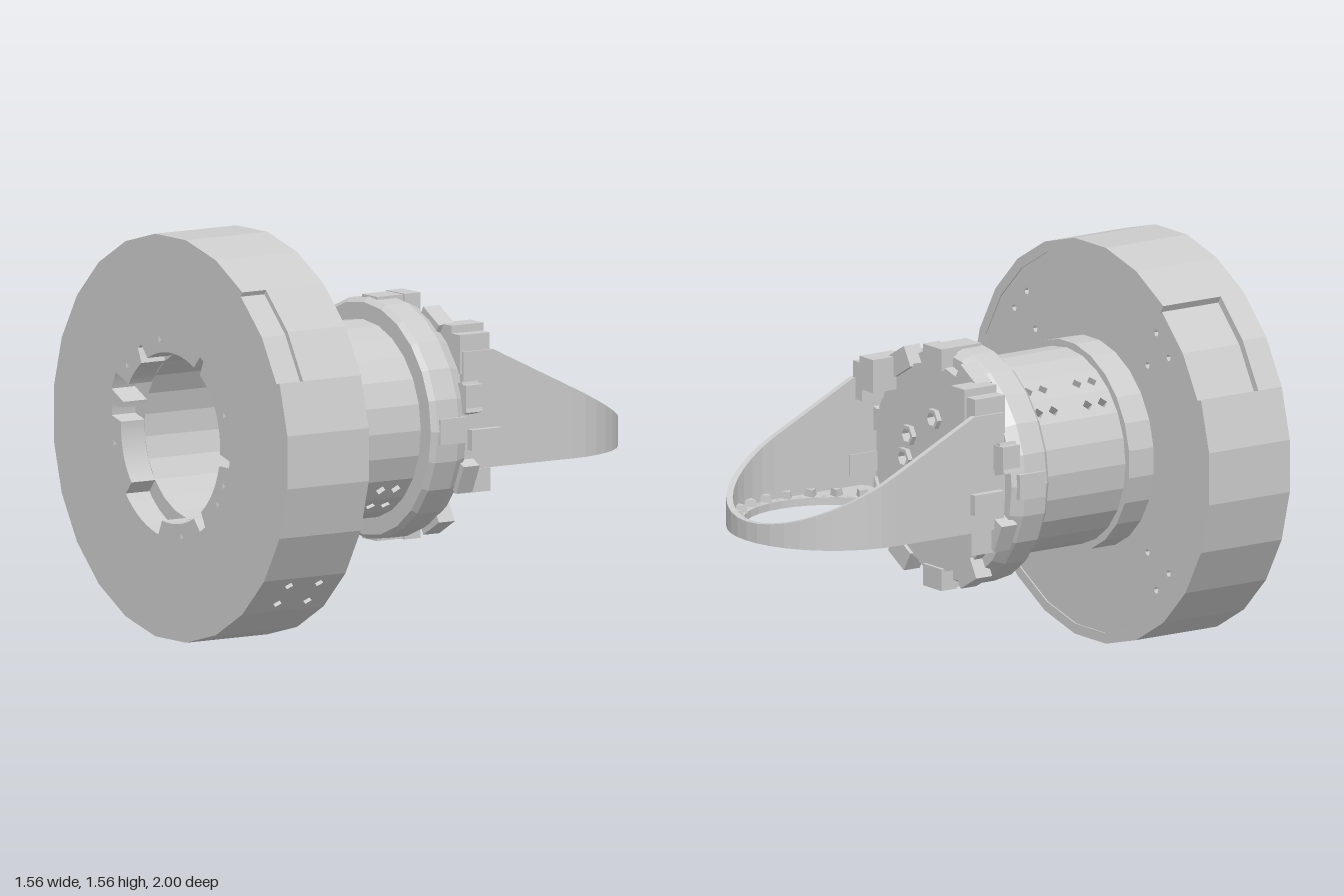
import * as THREE from 'three';
import { mergeGeometries } from 'three/addons/utils/BufferGeometryUtils.js';

const mat = new THREE.MeshStandardMaterial({ color: 0xcccccc, flatShading: true, side: THREE.DoubleSide });
const SIDES = 24, STEP = 360 / SIDES, AXIS_Y = 0.78;
const rad = THREE.MathUtils.degToRad;
const polar = (r, deg) => [r * Math.cos(rad(deg)), r * Math.sin(rad(deg))];

// regular polygon outline
function ngon(r, n, cx = 0, cy = 0, start = 0) {
  return Array.from({ length: n }, (_, i) => {
    const [x, y] = polar(r, start + (i * 360) / n);
    return new THREE.Vector2(cx + x, cy + y);
  });
}
const round = r => ngon(r, SIDES, 0, 0, STEP / 2);

// solid from an outline with holes, from z0 to z1
function slab(outline, holes, z0, z1) {
  const shape = new THREE.Shape(outline);
  holes.forEach(h => shape.holes.push(new THREE.Path(h)));
  return new THREE.ExtrudeGeometry(shape, { depth: z1 - z0, bevelEnabled: false }).translate(0, 0, z0);
}

function add(parent, name, geometry) {
  const mesh = new THREE.Mesh(geometry, mat);
  mesh.name = name;
  parent.add(mesh);
  return mesh;
}

function box(w, h, d, x, y, z) {
  return new THREE.BoxGeometry(w, h, d).translate(x, y, z);
}

// block sitting on a circle around the z axis
function radialBox(deg, r0, r1, width, z0, z1) {
  return box(r1 - r0, width, z1 - z0, (r0 + r1) / 2, 0, (z0 + z1) / 2).rotateZ(rad(deg));
}

// cylindrical wall of flat panels; holesAt(deg) lists [u, z] drill positions
function panelWall(R, thick, z0, z1, start, skip, holesAt, holeR) {
  const w = R * Math.sin(rad(STEP / 2)), a = R * Math.cos(rad(STEP / 2)), parts = [];
  for (let i = 0; i < SIDES; i++) {
    const deg = start + i * STEP;
    if (skip.includes(deg)) continue;
    const rect = [[-w, z0], [w, z0], [w, z1], [-w, z1]].map(p => new THREE.Vector2(...p));
    const g = slab(rect, holesAt(deg).map(([u, z]) => ngon(holeR, 4, u, z)), a - thick, a);
    const [c, s] = polar(1, deg);
    g.applyMatrix4(new THREE.Matrix4().makeBasis(
      new THREE.Vector3(-s, c, 0), new THREE.Vector3(0, 0, 1), new THREE.Vector3(c, s, 0)));
    parts.push(g);
  }
  return mergeGeometries(parts);
}

function buildDrum(g) {
  // front plate with a notched bore and small drilled marks
  const notches = [[58, 3, 0.39], [122, 3, 0.39], [155, 5, 0.42], [171, 3, 0.395],
    [239, 19, 0.39], [303, 3, 0.39], [352, 3, 0.395]];
  const bore = [];
  for (let d = 0; d < 360; d += 2) {
    const n = notches.find(([c, h]) => Math.abs(d - c) <= h);
    bore.push(new THREE.Vector2(...polar(n ? n[2] : 0.33, d)));
  }
  const marks = [20, 101, 140, 190, 281, 325, 338].map(d => ngon(0.013, 3, ...polar(0.38, d)));
  add(g, 'drumFrontPlate', slab(round(0.765), [bore, ...marks], 0.89, 1));
  add(g, 'drumFrontRim', panelWall(0.785, 0.03, 0.89, 1, 0, [30, 45], () => [], 0.015));

  // rear body with screw holes in its back face
  const screws = [];
  for (const d of [45, 135, 225, 315])
    for (const [r, o] of [[0.66, -5], [0.66, 5], [0.52, 0]]) screws.push(ngon(0.014, 6, ...polar(r, d + o)));
  add(g, 'drumRearBody', slab(round(0.755), [round(0.33), ...screws], 0.625, 0.89));
  const rimHoles = d => (d === 315 ? [-0.055, 0.055].flatMap(u => [[u, 0.72], [u, 0.86]]) : []);
  add(g, 'drumRearRim', panelWall(0.785, 0.04, 0.62, 0.89, 0, [135, 150], rimHoles, 0.02));
}

function buildNeck(g) {
  add(g, 'neckCollar', slab(round(0.41), [round(0.33)], 0.51, 0.63));
  const drilled = [127.5, 142.5, 307.5, 322.5];
  const holes = d => (drilled.includes(d) ? [0.16, 0.23, 0.39, 0.46].map(z => [0, z]) : []);
  add(g, 'neckTube', panelWall(0.383, 0.04, 0.09, 0.52, STEP / 2, [], holes, 0.022));
}

function buildFlange(g) {
  // chamfered flange ring
  const profile = [[0.25, 0.1], [0.45, 0.1], [0.467, 0.08], [0.467, -0.02], [0.445, -0.07], [0.25, -0.07], [0.25, 0.1]];
  add(g, 'flangeRing', new THREE.LatheGeometry(
    profile.map(p => new THREE.Vector2(...p)).reverse(), SIDES).rotateX(Math.PI / 2));

  // end plate with a bolt circle and hex bosses
  const bolts = [[0, 0], ...[0, 30, 90, 150, 180, 210, 270, 330].map(d => polar(0.19, d))];
  add(g, 'endPlate', slab(round(0.405), bolts.map(([x, y]) => ngon(0.028, 6, x, y)), -0.11, -0.05));
  add(g, 'boltBosses', mergeGeometries(bolts.map(([x, y]) =>
    slab(ngon(0.042, 6, x, y), [ngon(0.028, 6, x, y)], -0.13, -0.1))));

  // rim tabs and raised pads around the flange
  const tabs = [];
  for (const d of [15, 90, 165, 205, 240, 270, 300, 335, 60, 120]) tabs.push(radialBox(d, 0.39, 0.475, 0.12, -0.125, -0.05));
  add(g, 'rimTabs', mergeGeometries(tabs));
  add(g, 'flangePads', mergeGeometries([0, 90, 180, 270].map(d => radialBox(d, 0.43, 0.472, 0.1, -0.05, 0.07))));
}

function buildBracket(g) {
  const CZ = -0.59, R = 0.41, T = 0.025, BOTTOM = 0.615;
  const topAt = z => (z > -0.22 ? 1.07 : 1.07 - ((-0.22 - z) / 0.78) * 0.38);

  // U-shaped wall whose top edge slopes down to the tip: [x, z, normal x, normal z]
  const path = [[R, -0.08, 1, 0], [R, -0.22, 1, 0]];
  for (let i = 0; i <= 20; i++) {
    const [c, s] = polar(1, i * 9);
    path.push([R * c, CZ - R * s, c, -s]);
  }
  path.push([-R, -0.22, -1, 0], [-R, -0.08, -1, 0]);
  const rings = path.map(([x, z, nx, nz]) => {
    const ix = x - nx * T, iz = z - nz * T, y = topAt(z);
    return [[x, BOTTOM, z], [x, y, z], [ix, y, iz], [ix, BOTTOM, iz]];
  });
  const pos = [];
  const quad = (a, b, c, d) => pos.push(...a, ...b, ...c, ...a, ...c, ...d);
  for (let i = 0; i + 1 < rings.length; i++)
    for (let k = 0; k < 4; k++) {
      const n = (k + 1) % 4;
      quad(rings[i][k], rings[i + 1][k], rings[i + 1][n], rings[i][n]);
    }
  quad(...rings[0]);
  quad(...rings[rings.length - 1].slice().reverse());
  const wall = new THREE.BufferGeometry();
  wall.setAttribute('position', new THREE.Float32BufferAttribute(pos, 3));
  wall.computeVertexNormals();
  add(g, 'bracketWall', wall);

  // floor ring with a large opening and small drilled holes
  const outline = [new THREE.Vector2(-0.4, 0.21), new THREE.Vector2(-0.36, 0.17),
    new THREE.Vector2(0.36, 0.17), new THREE.Vector2(0.4, 0.21)];
  for (let i = 0; i <= 20; i++) {
    const [x, y] = polar(0.4, i * 9);
    outline.push(new THREE.Vector2(x, -CZ + y));
  }
  const holes = [ngon(0.345, 36, 0, -CZ)], teeth = [];
  for (let i = 0; i < 24; i++) {
    holes.push(ngon(0.009, 4, ...polar(0.366, i * 15).map((v, k) => v - k * CZ)));
    const [x, y] = polar(0.372, i * 15 + 7.5);
    teeth.push(new THREE.CylinderGeometry(0.024, 0.03, 0.035, 3)
      .rotateY(rad(i * 15 + 7.5 - 90)).translate(x, 0.655, CZ - y));
  }
  add(g, 'bracketFloor', slab(outline, holes, BOTTOM, 0.645).rotateX(-Math.PI / 2));
  add(g, 'floorTeeth', mergeGeometries(teeth));

  // clamping lugs where the bracket meets the flange
  const lugs = [];
  for (const s of [-1, 1]) lugs.push(
    box(0.09, 0.13, 0.15, s * 0.3, 1.1, -0.145),
    box(0.06, 0.15, 0.14, s * 0.37, 1.06, -0.14),
    box(0.06, 0.08, 0.14, s * 0.41, 0.73, -0.17),
    box(0.1, 0.09, 0.15, s * 0.34, 0.565, -0.145),
    box(0.07, 0.1, 0.08, s * 0.435, 0.9, -0.09));
  add(g, 'bracketLugs', mergeGeometries(lugs));
}

export function createModel() {
  const model = new THREE.Group();
  model.name = 'flangedMount';
  const body = new THREE.Group();
  body.name = 'roundBody';
  body.position.y = AXIS_Y;
  buildDrum(body);
  buildNeck(body);
  buildFlange(body);
  const bracket = new THREE.Group();
  bracket.name = 'ringBracket';
  buildBracket(bracket);
  model.add(body, bracket);
  return model;
}
